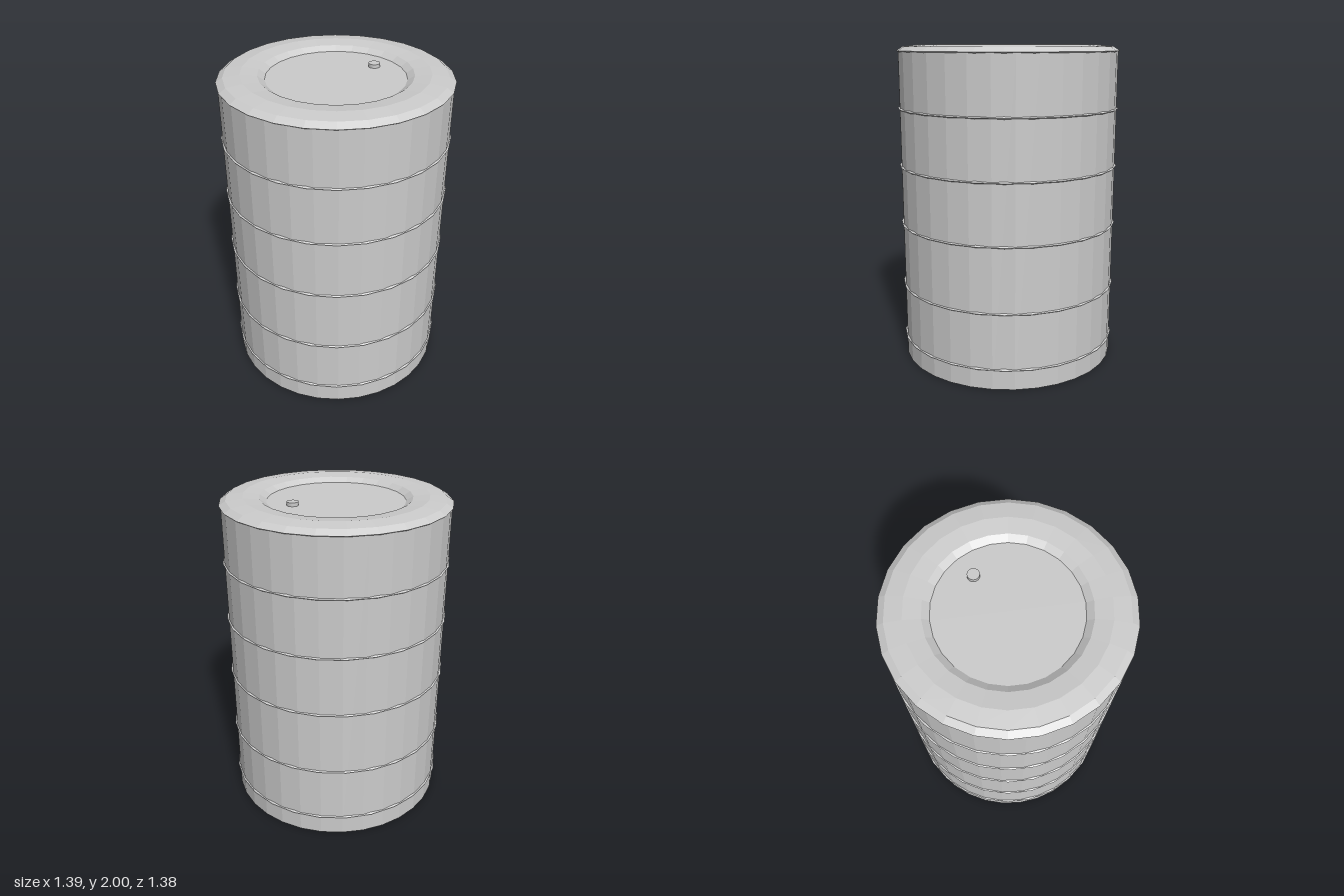
import * as THREE from 'three';

const material = new THREE.MeshStandardMaterial({ color: 0xcccccc, flatShading: true });

function addMesh(parent, name, geometry, x, y, z) {
  const mesh = new THREE.Mesh(geometry, material);
  mesh.name = name;
  mesh.position.set(x, y, z);
  parent.add(mesh);
  return mesh;
}

export function createModel() {
  const group = new THREE.Group();
  group.name = 'drum';

  // Closed shell; its top face is the lid panel
  const bodyHeight = 1.963;
  addMesh(group, 'body', new THREE.CylinderGeometry(0.685, 0.685, bodyHeight, 32), 0, bodyHeight / 2, 0);

  // Flattened eight-sided torus: forms the lid rim and the hoops
  const hoop = new THREE.TorusGeometry(0.555, 0.14, 8, 26);
  hoop.rotateX(-Math.PI / 2);
  hoop.scale(1, 0.037 / 0.14, 1);

  addMesh(group, 'lidRim', hoop, 0, bodyHeight, 0);

  // Hoops let into the shell so only a thin ridge stands out
  [0.125, 0.475, 0.88, 1.252, 1.612].forEach((y, i) => {
    addMesh(group, `hoop${i + 1}`, hoop, 0, y, 0);
  });

  // Small filler plug on the lid
  addMesh(group, 'plug', new THREE.CylinderGeometry(0.035, 0.035, 0.04, 32), 0.28, bodyHeight + 0.002, 0);

  return group;
}
